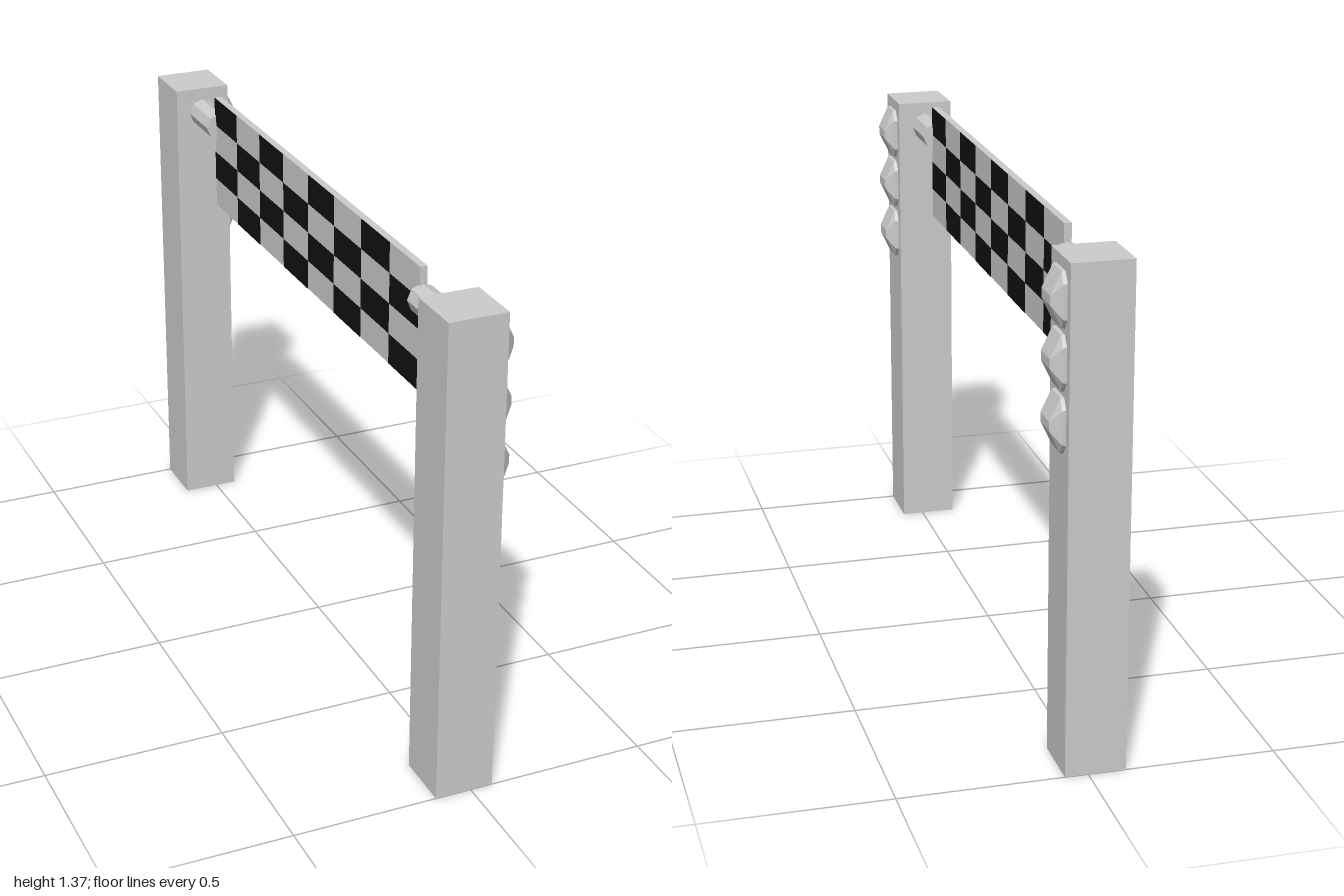
import * as THREE from 'three';
import { ConvexGeometry } from 'three/addons/geometries/ConvexGeometry.js';

const grey = new THREE.MeshStandardMaterial({ color: 0xcccccc, flatShading: true });
const white = new THREE.MeshStandardMaterial({ color: 0xe6e6e6 });
const black = new THREE.MeshStandardMaterial({ color: 0x111111 });

function add(parent, name, geometry, material, x, y, z) {
  const mesh = new THREE.Mesh(geometry, material);
  mesh.name = name;
  mesh.position.set(x, y, z);
  parent.add(mesh);
  return mesh;
}

// Faceted lamp bulging toward +x: full middle section, smaller ends
function lampGeometry() {
  const middle = [[0, 0.072], [0.009, 0.071], [0.037, 0.012]];
  const end = [[0, 0.046], [0.011, 0.043]];
  const points = [];
  for (const [profile, z] of [[middle, 0.038], [end, 0.059]])
    for (const [x, y] of profile)
      for (const sy of [-1, 1])
        for (const sz of [-1, 1]) points.push(new THREE.Vector3(x, y * sy, z * sz));
  return new ConvexGeometry(points);
}

// Chequered banner: pale panel with dark squares on both faces
function createBanner() {
  const banner = new THREE.Group();
  banner.name = 'banner';
  const cols = 8, rows = 4, length = 1.4, height = 0.336, thickness = 0.02;
  const w = length / cols, h = height / rows;
  add(banner, 'bannerPanel', new THREE.BoxGeometry(thickness, height, length), white, 0, 0, 0);
  const square = new THREE.PlaneGeometry(w, h);
  for (const side of [-1, 1])
    for (let r = 0; r < rows; r++)
      for (let c = r % 2; c < cols; c += 2) {
        const tile = add(banner, 'darkSquare', square, black, side * (thickness / 2 + 0.001),
          height / 2 - (r + 0.5) * h, side * (length / 2 - (c + 0.5) * w));
        tile.rotation.y = side * Math.PI / 2;
      }
  banner.position.set(-0.02, 1.197, 0);
  return banner;
}

export function createModel() {
  const model = new THREE.Group();
  model.name = 'finishGate';
  const lamp = lampGeometry();
  for (const side of [1, -1]) {
    const name = side > 0 ? 'front' : 'back';
    // Upright post
    add(model, name + 'Post', new THREE.BoxGeometry(0.162, 1.35, 0.164), grey, -0.019, 0.675, side * 0.918);
    // Octagonal rod holding the banner
    add(model, name + 'Rod', new THREE.CylinderGeometry(0.04, 0.04, 0.15, 8), grey, -0.02, 1.277, side * 0.765)
      .rotation.x = Math.PI / 2;
    // Column of three lamps
    for (const y of [1.248, 1.09, 0.931])
      add(model, name + 'Lamp', lamp, grey, 0.062, y, side * 0.918);
  }
  model.add(createBanner());
  return model;
}
